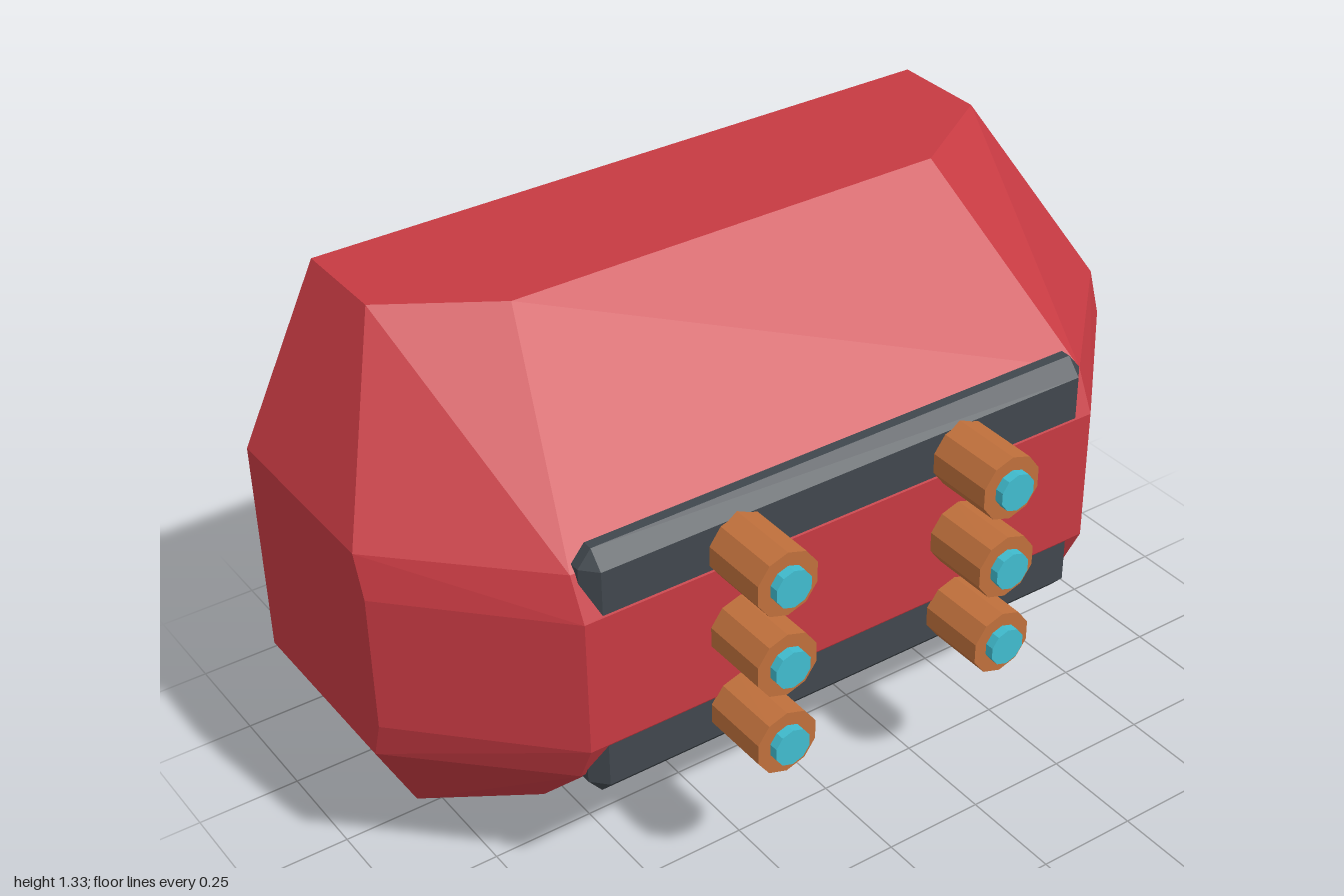
import * as THREE from 'three';
import { ConvexGeometry } from 'three/addons/geometries/ConvexGeometry.js';

const MID = 0.667; // height of the horizontal symmetry plane

const paint = (name, color) => {
  const m = new THREE.MeshStandardMaterial({ color });
  m.name = name;
  return m;
};

// Faceted solid around corner points mirrored left to right
function mirroredHull(points) {
  const all = [];
  for (const [x, y, z] of points) for (const s of [-1, 1]) all.push(new THREE.Vector3(s * x, y, z));
  return new ConvexGeometry(all);
}

export function createModel() {
  const red = paint('red shell', 0xc63a42);
  const dark = paint('dark trim', 0x40474d);
  const copper = paint('copper', 0xc0703c);
  const cyan = paint('cyan lens', 0x40bccf);

  const model = new THREE.Group();
  model.name = 'wallUnit';
  const add = (name, geometry, material, x = 0, y = 0, z = 0) => {
    const mesh = new THREE.Mesh(geometry, material);
    mesh.name = name;
    mesh.position.set(x, y, z);
    model.add(mesh);
  };

  // Body: sections [height from middle, side x, side z, front x, front z]
  const sections = [
    [0.667, 0.8, -0.28, 0.55, -0.12],
    [0.265, 1, -0.04, 0.68, 0.28],
    [0.167, 1, -0.006, 0.68, 0.328],
  ];
  const corners = [];
  for (const [h, sx, sz, fx, fz] of sections) {
    for (const y of [MID + h, MID - h]) corners.push([sx, y, -0.52], [sx, y, sz], [fx, y, fz]);
  }
  add('body', mirroredHull(corners), red);

  // Trim bars: clipped-corner plates with a bevelled front, partly sunk into the body
  const barPoints = [];
  for (const s of [-1, 1]) {
    for (const z of [0.265, 0.29]) barPoints.push([0.635, s * 0.108, z], [0.668, s * 0.068, z]);
    barPoints.push([0.635, s * 0.068, 0.326]);
  }
  const barGeometry = mirroredHull(barPoints);
  add('upperBar', barGeometry, dark, 0, MID + 0.211);
  add('lowerBar', barGeometry, dark, 0, MID - 0.211);

  // Two columns of three ten-sided studs with lenses
  const rod = (radius, length) => {
    const g = new THREE.CylinderGeometry(radius, radius, length, 10).rotateX(Math.PI / 2).toNonIndexed();
    g.computeVertexNormals();
    return g;
  };
  const studGeometry = rod(0.079, 0.2);
  const lensGeometry = rod(0.046, 0.04);
  for (const x of [-0.297, 0.297]) {
    for (const row of [-1, 0, 1]) {
      const y = MID + row * 0.209;
      add('stud', studGeometry, copper, x, y, 0.398);
      add('lens', lensGeometry, cyan, x, y, 0.5);
    }
  }
  return model;
}
